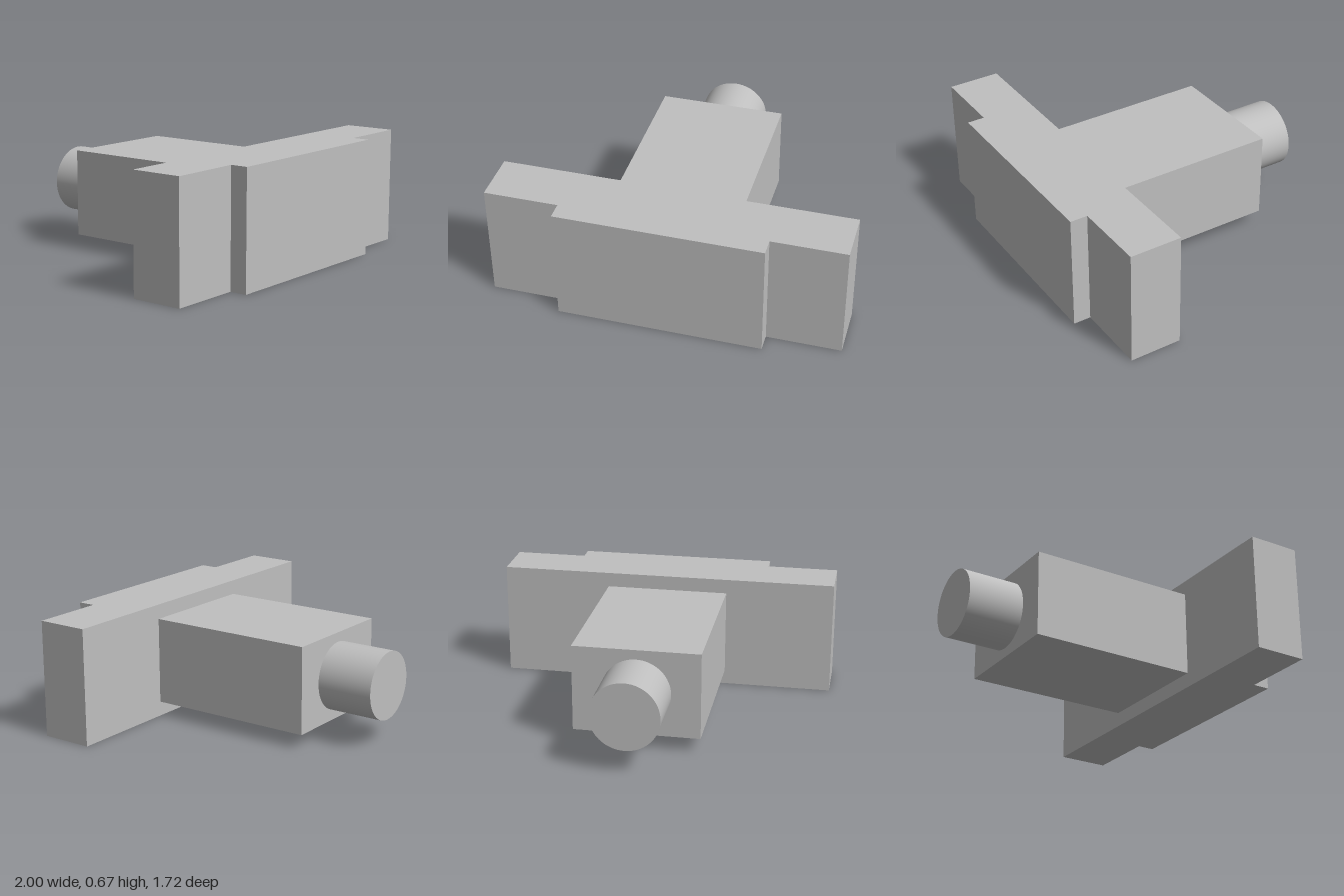
import * as THREE from 'three';

export function createModel() {
  const group = new THREE.Group();
  const grey = new THREE.MeshStandardMaterial({ color: 0xbfbfbf });
  grey.name = 'plain grey';

  const add = (name, geometry) => {
    const mesh = new THREE.Mesh(geometry, grey);
    mesh.name = name;
    group.add(mesh);
    return mesh;
  };

  // Stepped front plate: plan outline (x, -z) extruded upwards
  const back = -0.46, step = -0.76, front = -0.86;
  const outline = new THREE.Shape([
    [-1, back], [-1, step], [-0.58, step], [-0.58, front],
    [0.58, front], [0.58, step], [1, step], [1, back],
  ].map(([x, y]) => new THREE.Vector2(x, y)));
  const plate = new THREE.ExtrudeGeometry(outline, { depth: 0.67, bevelEnabled: false });
  plate.rotateX(-Math.PI / 2);
  add('frontPlate', plate);

  // Rectangular block behind the plate
  add('body', new THREE.BoxGeometry(0.72, 0.5, 0.99)).position.set(0, 0.335, -0.035);

  // Round pin at the rear
  const pin = new THREE.CylinderGeometry(0.195, 0.195, 0.33, 64);
  pin.rotateX(Math.PI / 2);
  add('rearPin', pin).position.set(0, 0.335, -0.695);

  return group;
}
